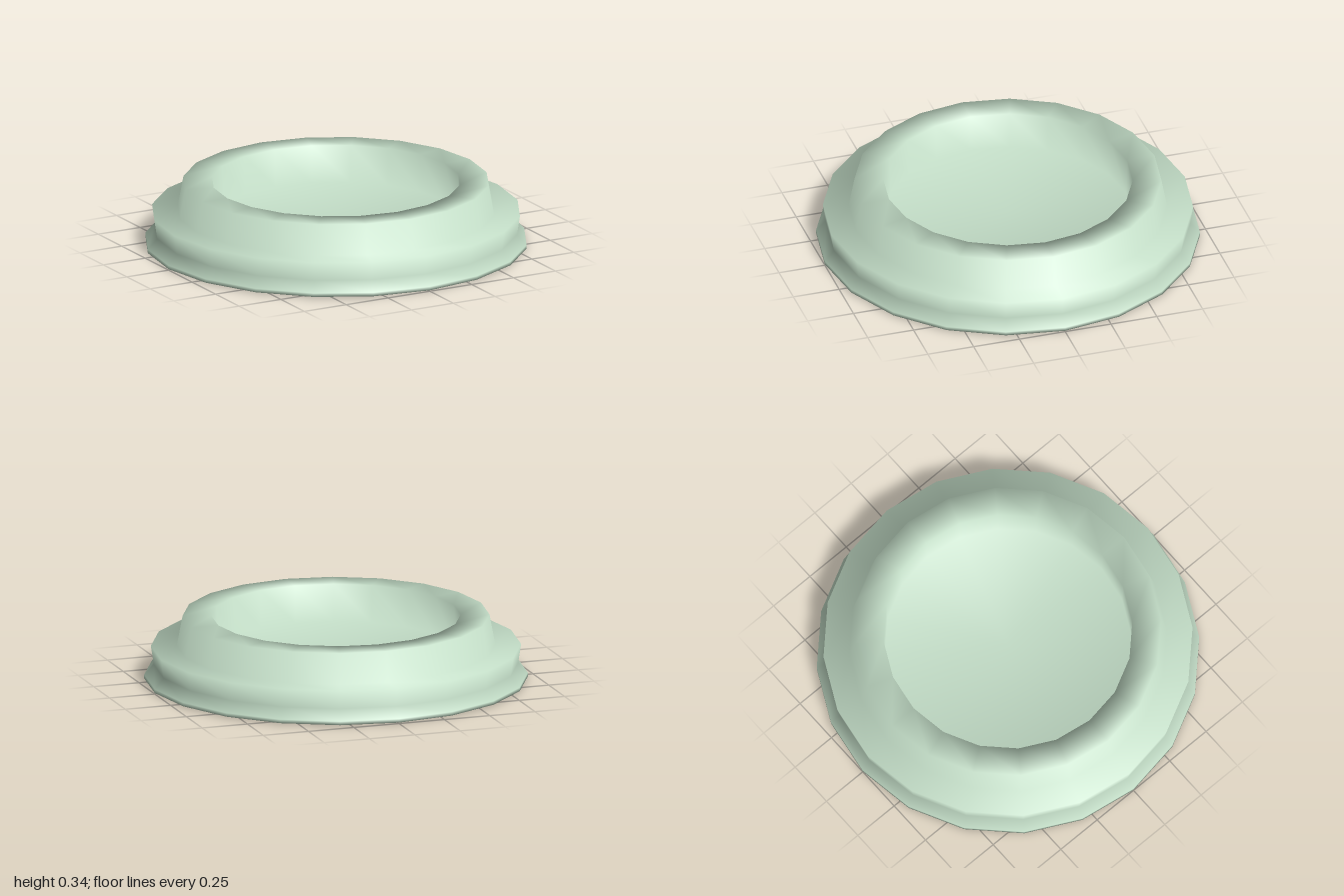
import * as THREE from 'three';

const SIDES = 20;

export function createModel() {
  const model = new THREE.Group();
  model.name = 'roundDish';

  const paleGreen = new THREE.MeshStandardMaterial({ color: 0xc2dcc6 });
  paleGreen.name = 'paleGreen';

  // Profile (radius, height) from the underside, around the outside, into the hollow
  const profile = [
    [0, 0.11], [0.86, 0.11],                // flat recessed underside
    [0.91, 0.1], [0.98, 0],                 // inner side of the foot
    [1, 0.005], [1, 0.025],                 // flared lip
    [0.95, 0.08], [0.965, 0.18],            // waisted base wall
    [0.83, 0.18], [0.8, 0.34],              // ledge and raised collar
    [0.65, 0.34],                           // flat rim
    [0.645, 0.14], [0, 0.14],               // steep wall and floor of the hollow
  ].map(([r, y]) => new THREE.Vector2(r, y));

  const body = new THREE.Mesh(new THREE.LatheGeometry(profile, SIDES), paleGreen);
  body.name = 'dishBody';
  model.add(body);

  return model;
}
